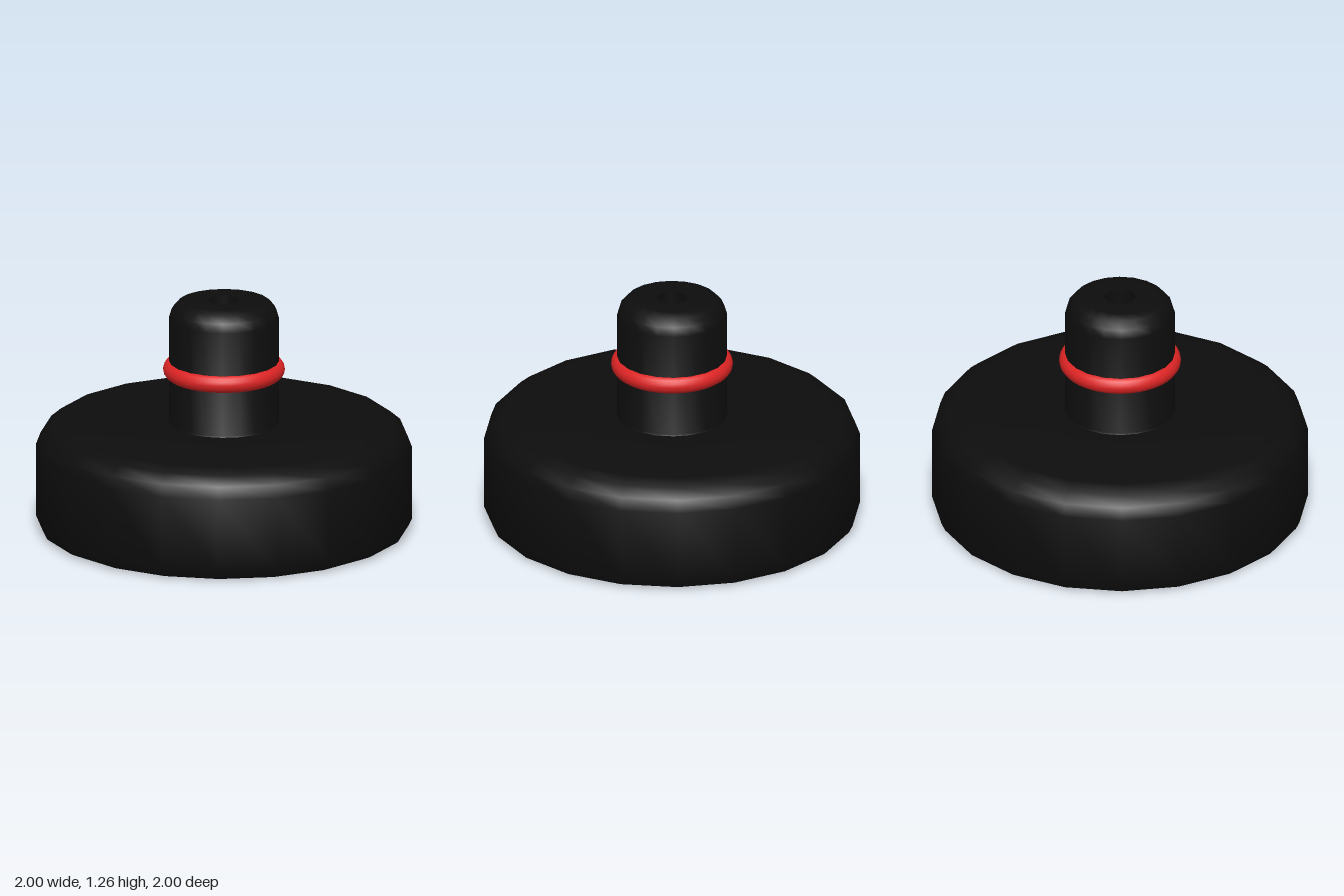
import * as THREE from 'three';
import { toCreasedNormals } from 'three/addons/utils/BufferGeometryUtils.js';

const SIDES = 20;

// Revolve a profile of [radius, height] pairs, keeping hard edges sharp
function turned(name, profile, material) {
  const points = profile.map(([r, y]) => new THREE.Vector2(r, y));
  const geometry = toCreasedNormals(new THREE.LatheGeometry(points, SIDES), 0.7);
  const mesh = new THREE.Mesh(geometry, material);
  mesh.name = name;
  return mesh;
}

export function createModel() {
  const rubber = new THREE.MeshStandardMaterial({ color: 0x0d0d0d });
  rubber.name = 'black rubber';
  const red = new THREE.MeshStandardMaterial({ color: 0xdd2424 });
  red.name = 'red ring';

  const group = new THREE.Group();
  group.name = 'rubber pad';

  // Wide puck with a small bevel below and a larger round above
  group.add(turned('base', [
    [0, 0], [0.94, 0], [0.98, 0.018], [1, 0.06],
    [1, 0.455], [0.975, 0.52], [0.92, 0.567], [0.835, 0.588], [0.29, 0.588],
  ], rubber));

  // Upright stem with a rounded top and a narrow centre hole
  group.add(turned('stem', [
    [0.298, 0.586], [0.293, 0.595], [0.293, 1.165], [0.279, 1.212], [0.245, 1.25], [0.19, 1.263],
    [0.082, 1.263], [0.082, 0.96], [0, 0.96],
  ], rubber));

  // Retaining ring around the stem
  const ring = new THREE.Mesh(new THREE.TorusGeometry(0.275, 0.049, 16, 40), red);
  ring.name = 'ring';
  ring.rotation.x = Math.PI / 2;
  ring.position.y = 0.882;
  group.add(ring);

  return group;
}
